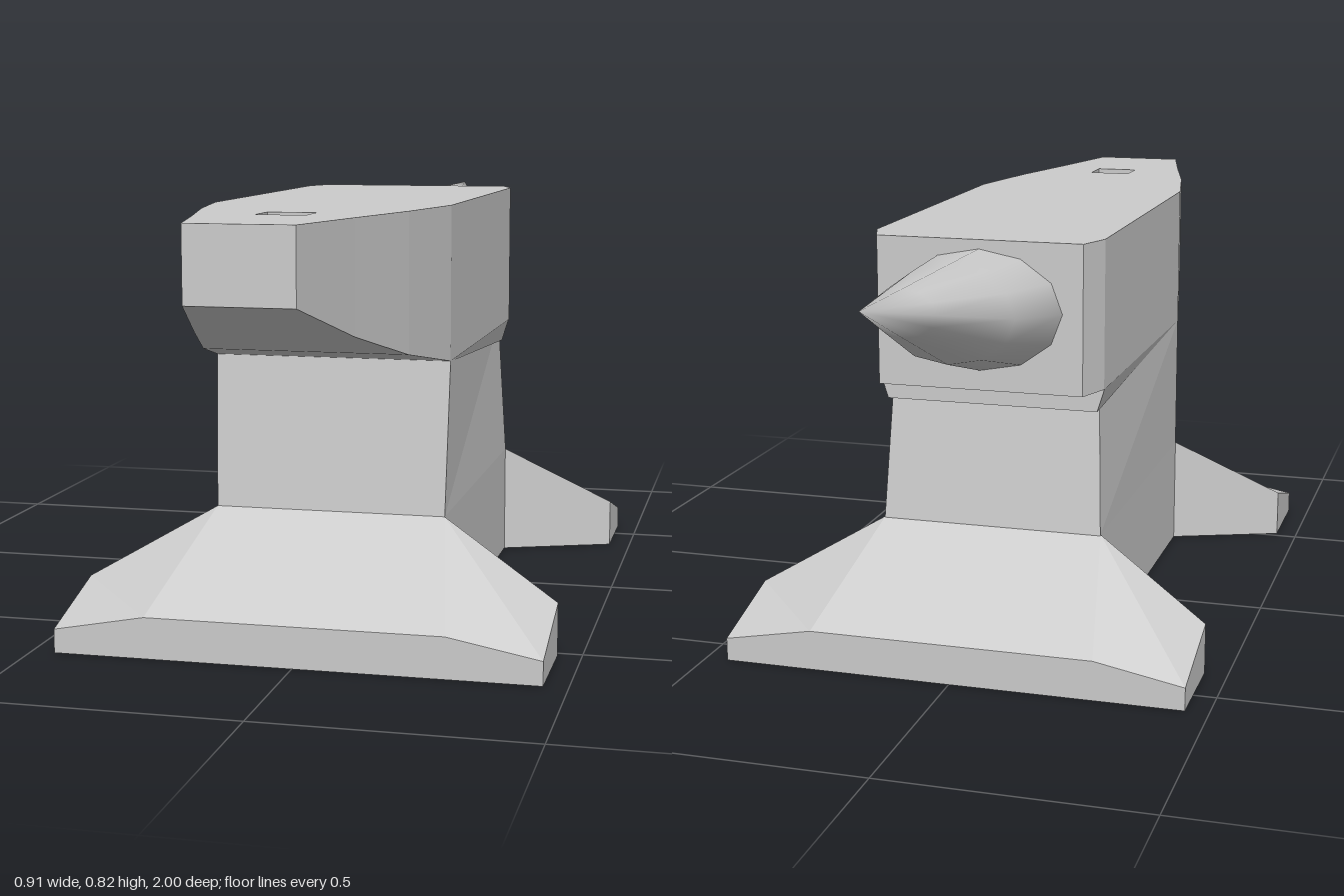
import * as THREE from 'three';
import { mergeVertices } from 'three/addons/utils/BufferGeometryUtils.js';

const steel = new THREE.MeshStandardMaterial({ color: 0xcccccc, flatShading: true });
const smoothSteel = new THREE.MeshStandardMaterial({ color: 0xcccccc });

function mesh(name, geometry, material = steel) {
  const m = new THREE.Mesh(geometry, material);
  m.name = name;
  return m;
}

// Flat polygons, each fanned from its first corner
function polygons(faces) {
  const pos = [];
  for (const f of faces)
    for (let i = 1; i < f.length - 1; i++) pos.push(...f[0], ...f[i], ...f[i + 1]);
  const g = new THREE.BufferGeometry();
  g.setAttribute('position', new THREE.Float32BufferAttribute(pos, 3));
  g.computeVertexNormals();
  return g;
}

// Skin over rings that run counter-clockwise seen from the last ring
function loft(rings, { startCap = true, endCap = true, skipSide = -1 } = {}) {
  const faces = [];
  const n = rings[0].length;
  for (let r = 0; r < rings.length - 1; r++)
    for (let i = 0; i < n; i++) {
      if (i === skipSide) continue;
      const j = (i + 1) % n;
      faces.push([rings[r][i], rings[r][j], rings[r + 1][j], rings[r + 1][i]]);
    }
  if (startCap) faces.push([...rings[0]].reverse());
  if (endCap) faces.push(rings[rings.length - 1]);
  return polygons(faces);
}

// Horizontal rectangle, with separate half widths at front and back
const level = (y, zBack, zFront, wFront, wBack = wFront) =>
  [[-wFront, y, zFront], [wFront, y, zFront], [wBack, y, zBack], [-wBack, y, zBack]];

const TOP = 0.818;

function makeBody() {
  const g = new THREE.Group();
  g.name = 'body';
  // z, half width, underside height
  const sections = [
    [-0.37, 0.205, 0.525], [-0.3, 0.23, 0.525], [0.4, 0.23, 0.525],
    [0.6, 0.192, 0.562], [0.8, 0.142, 0.617], [1, 0.095, 0.685],
  ];
  const rings = sections.map(([z, w, b]) => [[-w, b, z], [w, b, z], [w, TOP, z], [-w, TOP, z]]);
  g.add(mesh('bodySides', loft(rings, { skipSide: 2 })));

  // Working face with the square tool hole
  const right = sections.map(([z, w]) => new THREE.Vector2(w, -z));
  const left = sections.map(([z, w]) => new THREE.Vector2(-w, -z)).reverse();
  const face = new THREE.Shape([...right, ...left]);
  const hole = level(TOP, 0.68, 0.755, 0.045);
  face.holes.push(new THREE.Path(hole.map(([x, , z]) => new THREE.Vector2(x, -z))));
  const faceGeometry = new THREE.ShapeGeometry(face).rotateX(-Math.PI / 2).translate(0, TOP, 0);
  g.add(mesh('workingFace', faceGeometry));
  const floor = level(TOP - 0.09, 0.68, 0.755, 0.045);
  g.add(mesh('toolHole', loft([hole, floor], { startCap: false })));
  return g;
}

// Round horn with a level top line, tapering to a point
function makeHorn() {
  const profile = [[0.165, 0], [0.128, 0.19], [0.06, 0.425], [0, 0.63]]
    .map(([r, d]) => new THREE.Vector2(r, d));
  let g = new THREE.LatheGeometry(profile, 12);
  const p = g.attributes.position;
  for (let i = 0; i < p.count; i++) {
    const x = p.getX(i), d = p.getY(i), z = p.getZ(i);
    p.setXYZ(i, x, 0.8 + 0.715 * (z - Math.hypot(x, z)), -0.37 - d);
  }
  g.deleteAttribute('uv');
  g.deleteAttribute('normal');
  g = mergeVertices(g, 1e-4);
  g.computeVertexNormals();
  return mesh('horn', g, smoothSteel);
}

// Shallow wedge under the body, deepest at the horn end
function makeWedge() {
  return mesh('underWedge', loft([
    [[-0.215, 0.478, -0.295], [0.215, 0.478, -0.295], [0.23, 0.526, -0.295], [-0.23, 0.526, -0.295]],
    [[-0.23, 0.524, 0.4], [0.23, 0.524, 0.4], [0.23, 0.526, 0.4], [-0.23, 0.526, 0.4]],
  ]));
}

// Waist block
function makeWaist() {
  return mesh('waist', loft([
    level(0, -0.3, 0.425, 0.225),
    level(0.23, -0.3, 0.425, 0.225),
    level(0.525, -0.265, 0.4, 0.23, 0.212),
  ]));
}

// Spreading pair of feet, reaching out along local +z
function makeFoot(name, z, turn) {
  const faces = [];
  const flip = ([x, y, zz]) => [-x, y, zz];
  const inner = [0.225, 0.23, 0], outer = [0.455, 0.1, 0.09];
  const toe = [0.455, 0.045, 0.28], brow = [0.28, 0.078, 0.28];
  const down = ([x, , zz]) => [x, 0, zz];
  const side = [
    [inner, brow, toe, outer],
    [down(toe), down(outer), outer, toe],
    [down(outer), down(inner), inner, outer],
  ];
  for (const f of side) faces.push(f, f.map(flip).reverse());
  faces.push([flip(inner), flip(brow), brow, inner]);
  faces.push([flip(down(toe)), down(toe), toe, brow, flip(brow), flip(toe)]);
  faces.push([inner, outer, toe].map(down).concat([toe, outer, inner].map((c) => flip(down(c)))));
  const foot = mesh(name, polygons(faces));
  foot.position.z = z;
  foot.rotation.y = turn;
  return foot;
}

export function createModel() {
  const model = new THREE.Group();
  model.name = 'anvil';
  model.add(
    makeBody(),
    makeHorn(),
    makeWedge(),
    makeWaist(),
    makeFoot('frontFeet', 0.425, 0),
    makeFoot('backFeet', -0.297, Math.PI),
  );
  return model;
}
